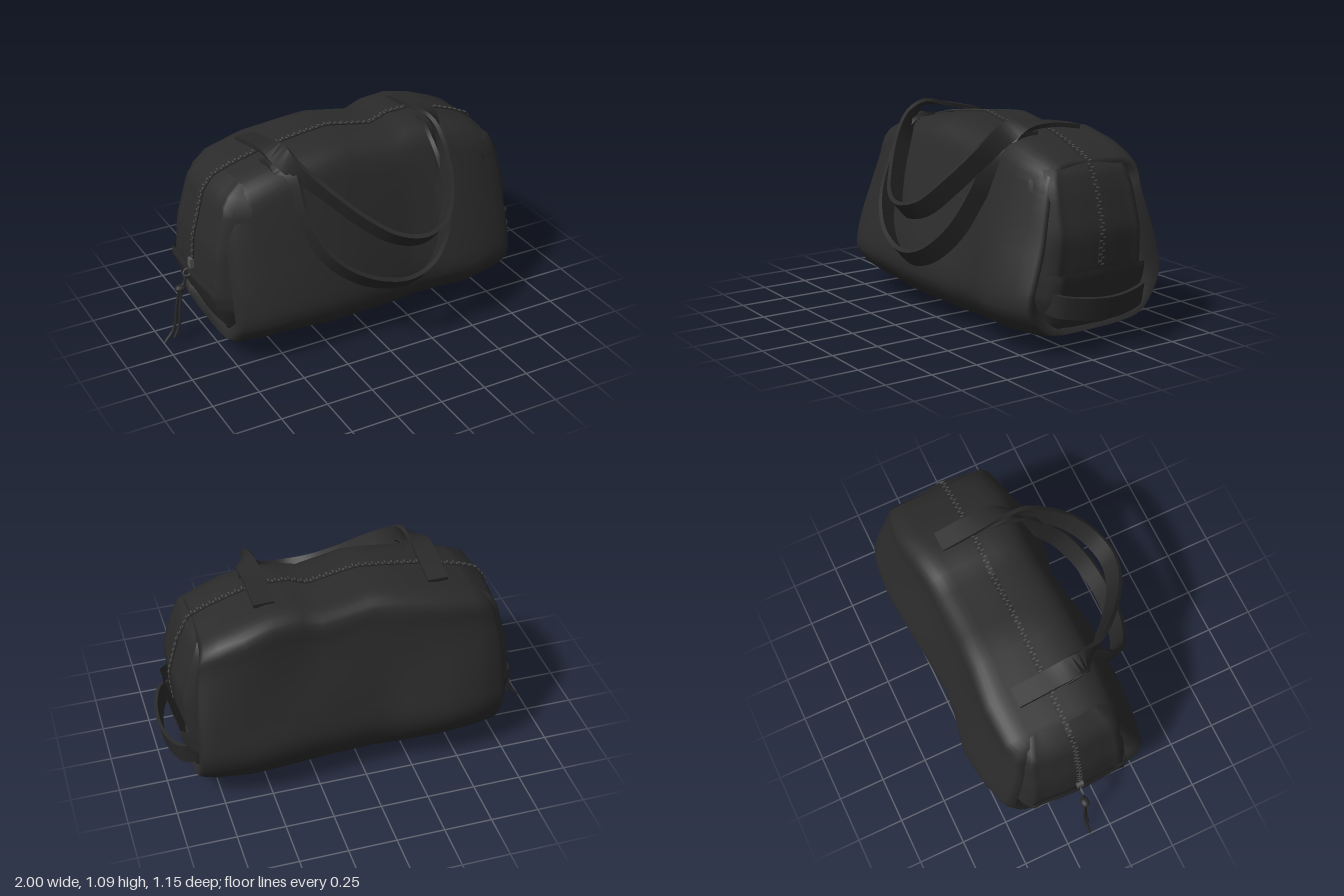
import * as THREE from 'three';
import { mergeGeometries, toCreasedNormals } from 'three/addons/utils/BufferGeometryUtils.js';

const V = (x, y, z) => new THREE.Vector3(x, y, z);
const material = (name, color) => {
  const m = new THREE.MeshStandardMaterial({ color, side: THREE.DoubleSide });
  m.name = name;
  return m;
};

// Piecewise linear lookup in [input, output] pairs
function lookup(table, t) {
  if (t <= table[0][0]) return table[0][1];
  for (let i = 1; i < table.length; i++) {
    const [a, va] = table[i - 1], [b, vb] = table[i];
    if (t <= b) return va + (vb - va) * (t - a) / (b - a);
  }
  return table[table.length - 1][1];
}

// Skin over rows of points; closed rows get end caps
function skin(rows, closed) {
  const n = rows[0].length, pos = rows.flat().flatMap(p => [p.x, p.y, p.z]), index = [];
  for (let i = 0; i < rows.length - 1; i++) {
    for (let j = 0; j < (closed ? n : n - 1); j++) {
      const a = i * n + j, b = i * n + (j + 1) % n;
      index.push(a, b, a + n, b, b + n, a + n);
    }
  }
  if (closed) {
    [0, rows.length - 1].forEach((r, k) => {
      for (let j = 1; j < n - 1; j++) {
        const a = r * n, b = r * n + j, c = b + 1;
        index.push(...(k ? [a, b, c] : [a, c, b]));
      }
    });
  }
  const g = new THREE.BufferGeometry();
  g.setAttribute('position', new THREE.Float32BufferAttribute(pos, 3));
  g.setIndex(index);
  g.computeVertexNormals();
  return g;
}

// Flat webbing along a path; widths gives the direction across the band at each point
function strap(points, widths, width, thick, steps = 48) {
  const curve = new THREE.CatmullRomCurve3(points), rows = [];
  for (let i = 0; i <= steps; i++) {
    const t = i / steps, f = t * (points.length - 1), k = Math.min(Math.floor(f), points.length - 2);
    const p = curve.getPoint(t), tan = curve.getTangent(t);
    const w = widths[k].clone().lerp(widths[k + 1], f - k);
    w.addScaledVector(tan, -w.dot(tan)).normalize();
    const nrm = tan.clone().cross(w).normalize();
    rows.push([[1, 1], [-1, 1], [-1, -1], [1, -1]].map(([a, b]) =>
      p.clone().addScaledVector(w, a * width / 2).addScaledVector(nrm, b * thick / 2)).reverse());
  }
  return toCreasedNormals(skin(rows, true), 0.8);
}

const CZ = -0.11; // centre line of the bag in z

// Body cross-section as (z, y)
const section = new THREE.CatmullRomCurve3([
  [-0.11, 1.04], [0.08, 1.03], [0.17, 0.97], [0.225, 0.83], [0.29, 0.61], [0.345, 0.41], [0.37, 0.24],
  [0.31, 0.14], [0.21, 0.07], [-0.11, 0.06], [-0.3, 0.07], [-0.44, 0.1], [-0.535, 0.21], [-0.575, 0.34],
  [-0.545, 0.5], [-0.49, 0.72], [-0.46, 0.87], [-0.445, 0.98], [-0.38, 1.025], [-0.27, 1.035],
].map(([z, y]) => V(0, y, z)), true);

// Stations along the body: x, top, bottom, front z, back z
const stations = [
  [-0.66, 0.8, 0.2, 0.17, -0.39], [-0.73, 0.83, 0.14, 0.22, -0.43], [-0.765, 0.87, 0.11, 0.27, -0.46],
  [-0.73, 0.91, 0.09, 0.3, -0.5], [-0.6, 0.95, 0.09, 0.33, -0.54], [-0.4, 1.0, 0.09, 0.355, -0.56],
  [-0.2, 1.03, 0.07, 0.35, -0.53], [-0.05, 1.045, 0.07, 0.345, -0.52], [0.2, 1.0, 0.065, 0.32, -0.525],
  [0.3, 1.035, 0.065, 0.3, -0.535], [0.45, 1.04, 0.07, 0.32, -0.555], [0.6, 1.0, 0.08, 0.345, -0.575],
  [0.78, 0.96, 0.09, 0.31, -0.555], [0.85, 0.93, 0.1, 0.28, -0.53], [0.87, 0.9, 0.11, 0.26, -0.51],
  [0.83, 0.85, 0.14, 0.22, -0.44], [0.76, 0.8, 0.2, 0.17, -0.39],
];

function bodyGeometry() {
  const ring = section.getPoints(60).slice(0, 60);
  return skin(stations.map(([x, top, bot, zf, zb]) => ring.map(p => {
    const h = (p.y - 0.06) / 0.98, d = p.z - CZ;
    const wave = 0.01 * Math.sin(9 * x + 6 * p.y) * Math.sin(Math.PI * h);
    const z = CZ + (d > 0 ? d * (zf - CZ) / 0.48 : d * (zb - CZ) / -0.465);
    const lean = Math.abs(x) > 0.65 ? 0.07 * h ** 4 * Math.sign(x) : 0; // ends lean in at the top
    return V(x - lean, bot + h * (top - bot), z + wave);
  })), true);
}

// Reach in x and half width in z of the end panels at a height y
const rightEnd = [[0.1, 0.8], [0.25, 0.86], [0.4, 0.9], [0.6, 0.915], [0.8, 0.86], [0.92, 0.81], [0.945, 0.74]];
const leftEnd = [[0.1, 0.7], [0.25, 0.77], [0.38, 0.82], [0.6, 0.805], [0.85, 0.74], [0.92, 0.685], [0.94, 0.63]];
const halfWidth = [[0.11, 0.22], [0.16, 0.28], [0.3, 0.325], [0.8, 0.295], [0.88, 0.275], [0.945, 0.22]];

// Bulging fabric panel on one end of the bag
function endPanel(side, table, y0, y1, out) {
  const rows = [];
  for (let i = 0; i <= 18; i++) {
    const y = y0 + (y1 - y0) * i / 18, row = [];
    for (let j = 0; j <= 20; j++) {
      const u = j / 10 - 1, a = Math.abs(u);
      const fold = 0.018 * Math.exp(-(((a - 0.8) / 0.09) ** 2));
      const x = lookup(table, y) + out - 0.035 * a * a - 0.1 * a ** 12 + fold;
      row.push(V(side * x, y - 0.01 * a * a, CZ + u * lookup(halfWidth, y) * side));
    }
    rows.push(row.reverse());
  }
  return skin(rows, false);
}

export function createModel() {
  const group = new THREE.Group();
  const fabric = material('black fabric', 0x2b2b2b);
  const webbing = material('black webbing', 0x292929);
  const teethMat = material('zip teeth', 0x4c4c4c);
  const metal = material('dark metal', 0x555555);
  const add = (name, geo, mat) => {
    const m = new THREE.Mesh(geo, mat);
    m.name = name;
    group.add(m);
    return m;
  };

  // Main bag, end panels and end pockets
  add('body', bodyGeometry(), fabric);
  add('leftEndPanel', endPanel(1, rightEnd, 0.12, 0.945, 0), fabric);
  add('rightEndPanel', endPanel(-1, leftEnd, 0.12, 0.94, 0), fabric);
  add('leftEndPocket', endPanel(1, rightEnd, 0.13, 0.43, 0.04), fabric);
  add('rightEndPocket', endPanel(-1, leftEnd, 0.13, 0.43, 0.02), fabric);

  // Carrying handles, both flopped forward
  const across = V(1, 0, 0), back = V(-1, 0, 0), normal = V(0, 0.75, 0.66);
  const handle = (name, pts, flat) => {
    const last = pts.length - 1;
    const widths = pts.map((_, i) => {
      const near = Math.min(i, last - i), end = i < last / 2 ? across : back;
      return end.clone().lerp(normal, THREE.MathUtils.clamp((near - flat) / 2.5, 0, 1));
    });
    add(name, strap(pts.map(p => V(...p)), widths, 0.105, 0.022, 64), webbing);
  };
  handle('frontHandle', [
    [-0.42, 0.985, -0.02], [-0.41, 1.0, 0.08], [-0.39, 0.92, 0.17], [-0.365, 0.75, 0.27], [-0.29, 0.57, 0.37],
    [-0.12, 0.44, 0.45], [0.1, 0.385, 0.48], [0.26, 0.43, 0.455], [0.38, 0.56, 0.38], [0.42, 0.75, 0.27],
    [0.44, 0.93, 0.17], [0.46, 1.025, 0.08], [0.47, 1.03, -0.02]], 0.5);
  handle('backHandle', [
    [-0.43, 1.0, -0.28], [-0.43, 1.04, -0.1], [-0.42, 1.06, 0.05], [-0.37, 0.995, 0.17], [-0.26, 0.89, 0.29],
    [-0.12, 0.76, 0.41], [0.02, 0.67, 0.5], [0.16, 0.645, 0.535], [0.29, 0.68, 0.5], [0.38, 0.79, 0.405],
    [0.43, 0.92, 0.265], [0.455, 1.02, 0.15], [0.47, 1.065, 0.04], [0.465, 1.06, -0.12], [0.46, 1.035, -0.28]], 1.2);

  // Grab loop across the left end
  const loop = [[0.82, 0.28, 0.16], [0.92, 0.27, 0.14], [0.97, 0.255, 0.03], [0.985, 0.245, -0.11],
    [0.97, 0.255, -0.25], [0.92, 0.27, -0.36], [0.82, 0.28, -0.38]].map(p => V(...p));
  add('grabLoop', strap(loop, loop.map(() => V(0.2, 0.98, 0)), 0.115, 0.018), webbing);

  // Zip running over the top and down both ends
  const down = (table, side, ys) => ys.map(y => V(side * (lookup(table, y) + 0.006), y, CZ));
  const path = [
    ...down(leftEnd, -1, [0.44, 0.6, 0.74, 0.85, 0.92]),
    ...stations.slice(4, 12).map(s => V(s[0], s[1] + 0.006, CZ)),
    V(0.71, 0.968, CZ),
    ...down(rightEnd, 1, [0.925, 0.8, 0.6, 0.44]),
  ];
  const zip = new THREE.CatmullRomCurve3(path, false, 'catmullrom', 0.1);
  add('zipTape', strap(zip.getPoints(60), Array(61).fill(V(0, 0, 1)), 0.03, 0.006, 100), webbing);
  const teeth = [];
  for (let i = 0; i <= 150; i++) {
    const t = i / 150, p = zip.getPointAt(t), d = zip.getTangentAt(t);
    const box = new THREE.BoxGeometry(0.007, 0.006, 0.016);
    box.rotateZ(Math.atan2(d.y, d.x));
    box.translate(p.x - d.y * 0.003, p.y + d.x * 0.003, CZ + (i % 2 ? 0.006 : -0.006));
    teeth.push(box);
  }
  add('zipTeeth', mergeGeometries(teeth), teethMat);

  // Zip slider, ring and knotted cord
  const slider = add('zipSlider', new THREE.BoxGeometry(0.02, 0.05, 0.035), metal);
  slider.position.set(-0.83, 0.45, CZ);
  const ring = add('zipRing', new THREE.TorusGeometry(0.022, 0.004, 6, 16), metal);
  ring.position.set(-0.852, 0.4, CZ);
  const cord = (name, pts) => add(name,
    new THREE.TubeGeometry(new THREE.CatmullRomCurve3(pts.map(p => V(...p))), 20, 0.008, 6), webbing);
  cord('cordTop', [[-0.86, 0.38, CZ], [-0.875, 0.34, CZ], [-0.9, 0.31, CZ]]);
  cord('cordLong', [[-0.9, 0.31, -0.11], [-0.92, 0.2, -0.12], [-0.94, 0.08, -0.12], [-0.994, 0.007, -0.12]]);
  cord('cordShort', [[-0.89, 0.31, -0.11], [-0.905, 0.2, -0.105], [-0.915, 0.1, -0.105], [-0.945, 0.03, -0.105]]);
  const knot = add('cordKnot', new THREE.SphereGeometry(0.024, 10, 8), webbing);
  knot.scale.set(1.3, 0.8, 1);
  knot.position.set(-0.895, 0.315, CZ);

  return group;
}
